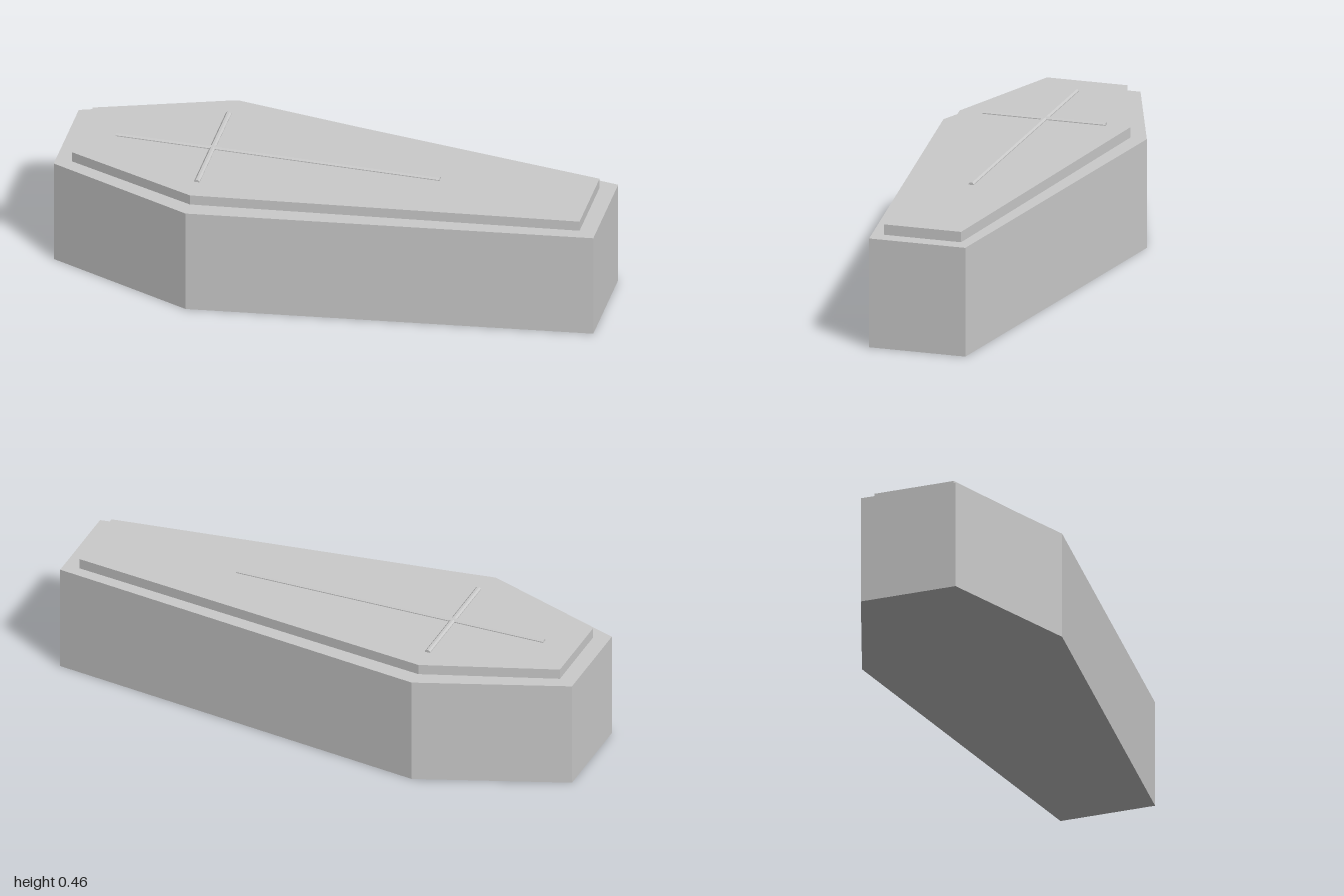
import * as THREE from 'three';

const material = new THREE.MeshStandardMaterial({ color: 0xcccccc, flatShading: true });

// Six-sided tapered slab, widest at the shoulders, standing between two heights
function slab(name, endX, headZ, shoulderZ, footZ, bottom, top) {
  const shoulderX = -0.46;
  const shape = new THREE.Shape([
    [-endX, -headZ], [shoulderX, -shoulderZ], [endX, -footZ],
    [endX, footZ], [shoulderX, shoulderZ], [-endX, headZ],
  ].map(([x, z]) => new THREE.Vector2(x, z)));
  const geometry = new THREE.ExtrudeGeometry(shape, { depth: top - bottom, bevelEnabled: false });
  geometry.rotateX(-Math.PI / 2);
  const mesh = new THREE.Mesh(geometry, material);
  mesh.name = name;
  mesh.position.y = bottom;
  return mesh;
}

// Thin faceted rod lying half sunk in the lid
function rod(name, length, x, alongX) {
  const geometry = new THREE.CylinderGeometry(0.011, 0.011, length, 8);
  geometry.rotateY(Math.PI / 8);
  if (alongX) geometry.rotateZ(Math.PI / 2);
  else geometry.rotateX(Math.PI / 2);
  const mesh = new THREE.Mesh(geometry, material);
  mesh.name = name;
  mesh.position.set(x, 0.447, 0);
  return mesh;
}

export function createModel() {
  const model = new THREE.Group();
  model.name = 'coffin';

  // Box, and a lid in two steps
  model.add(slab('box', 1, 0.182, 0.385, 0.182, 0, 0.38));
  const lid = new THREE.Group();
  lid.name = 'lid';
  lid.add(slab('lidBase', 1, 0.182, 0.385, 0.182, 0.38, 0.409));
  lid.add(slab('lidPanel', 0.94, 0.152, 0.323, 0.146, 0.409, 0.448));
  model.add(lid);

  // Cross on the lid
  const cross = new THREE.Group();
  cross.name = 'cross';
  cross.add(rod('crossUpright', 1.2, -0.214, true));
  cross.add(rod('crossArm', 0.464, -0.457, false));
  model.add(cross);

  return model;
}
